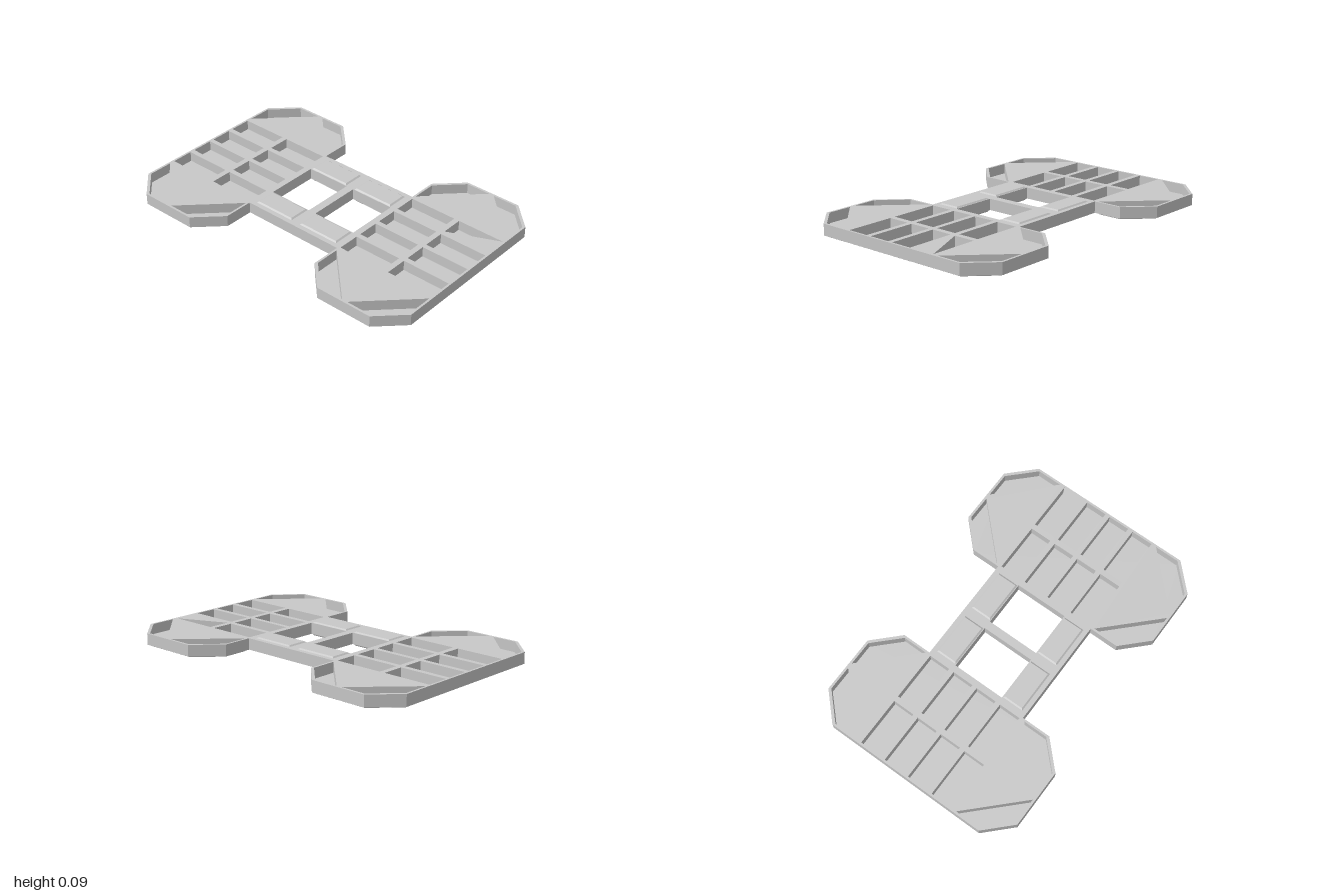
import * as THREE from 'three';
import { ConvexGeometry } from 'three/addons/geometries/ConvexGeometry.js';

const BASE = 0.009, TOP = 0.078, FLOOR = 0.016;
const PAD_X = 0.667;

export function createModel() {
  const root = new THREE.Group();
  root.name = 'twinPadPlatform';
  const grey = new THREE.MeshStandardMaterial({ color: 0xc8c8c8 });
  grey.name = 'plain grey';

  const add = (parent, geometry, name) => {
    const mesh = new THREE.Mesh(geometry, grey);
    mesh.name = name;
    parent.add(mesh);
  };

  // Outlines are lists of [x, z]
  const rect = (x0, x1, z0, z1) => [[x0, z0], [x1, z0], [x1, z1], [x0, z1]];
  const mirror = (pts, sx, sz) => pts.map(([x, z]) => [x * sx, z * sz]);

  // Paths always run counter-clockwise, so that every wall faces outwards
  const toPath = (Type, pts) => {
    const v = pts.map(([x, z]) => new THREE.Vector2(x, -z));
    return new Type(THREE.ShapeUtils.isClockWise(v) ? v.reverse() : v);
  };

  // Flat slab with openings, standing between two heights
  const slab = (outline, holes, y0, y1) => {
    const shape = toPath(THREE.Shape, outline);
    holes.forEach((h) => shape.holes.push(toPath(THREE.Path, h)));
    return new THREE.ExtrudeGeometry(shape, { depth: y1 - y0, bevelEnabled: false })
      .rotateX(-Math.PI / 2).translate(0, y0, 0);
  };

  // Convex tile whose far face shrinks towards its middle
  const taperedTile = (outline, yBase, yFace, inset) => {
    const xs = outline.map((p) => p[0]), zs = outline.map((p) => p[1]);
    const mid = (a) => (Math.min(...a) + Math.max(...a)) / 2;
    const half = (a) => (Math.max(...a) - Math.min(...a)) / 2;
    const cx = mid(xs), cz = mid(zs);
    const sx = 1 - inset / half(xs), sz = 1 - inset / half(zs);
    return new ConvexGeometry([
      ...outline.map(([x, z]) => new THREE.Vector3(x, yBase, z)),
      ...outline.map(([x, z]) => new THREE.Vector3(cx + (x - cx) * sx, yFace, cz + (z - cz) * sz)),
    ]);
  };

  // Outline of a pad: a rectangle with cut corners
  const octagon = [
    [0.333, -0.515], [0.333, 0.515], [0.18, 0.667], [-0.18, 0.667],
    [-0.333, 0.515], [-0.333, -0.515], [-0.18, -0.667], [0.18, -0.667],
  ];
  const innerCell = rect(0.017, 0.32, 0.015, 0.149);
  const outerCell = rect(0.017, 0.32, 0.181, 0.317);
  const halfCell = [[0.017, 0.181], [0.017, 0.317], [0.32, 0.317]];
  // Corner pockets are cut off by a diagonal; the tiles below fill the whole corner
  const cornerPocket = [[0.32, 0.35], [0.32, 0.503], [0.17, 0.653], [0.017, 0.653]];
  const cornerTile = [[0.017, 0.35], ...cornerPocket];

  for (const side of [-1, 1]) {
    const pad = new THREE.Group();
    pad.name = side > 0 ? 'leftPad' : 'rightPad';
    pad.position.x = side * PAD_X;
    root.add(pad);

    const pockets = [];
    for (const sx of [-1, 1]) {
      for (const sz of [-1, 1]) {
        // One cell at the back of the left pad is only half open
        const halfOpen = side > 0 && sx > 0 && sz < 0;
        for (const p of [innerCell, halfOpen ? halfCell : outerCell, cornerPocket]) {
          pockets.push(mirror(p, sx, sz));
        }
        // Bevelled tread tiles underneath
        for (const p of [innerCell, outerCell, cornerTile]) {
          add(pad, taperedTile(mirror(p, sx, sz), BASE, 0, 0.005), 'treadTile');
        }
      }
    }

    // Rim and ribs around open pockets, closed by a thin floor
    add(pad, slab(octagon, pockets, FLOOR, TOP), 'rimAndRibs');
    add(pad, slab(octagon, [], BASE, FLOOR), 'padFloor');
  }

  // Bridge with two openings
  const bridge = new THREE.Group();
  bridge.name = 'bridge';
  root.add(bridge);
  add(bridge, slab(
    rect(-0.34, 0.34, -0.333, 0.333),
    [rect(-0.308, -0.025, -0.165, 0.165), rect(0.025, 0.308, -0.165, 0.165)],
    BASE, TOP), 'bridgeFrame');

  // Bevelled panels above and below each bridge arm
  for (const sx of [-1, 1]) {
    for (const sz of [-1, 1]) {
      const panel = mirror(rect(0.032, 0.302, 0.169, 0.304), sx, sz);
      add(bridge, taperedTile(panel, TOP, 0.085, 0.009), 'raisedPanel');
      add(bridge, taperedTile(panel, BASE, 0, 0.005), 'undersidePanel');
    }
  }
  return root;
}
